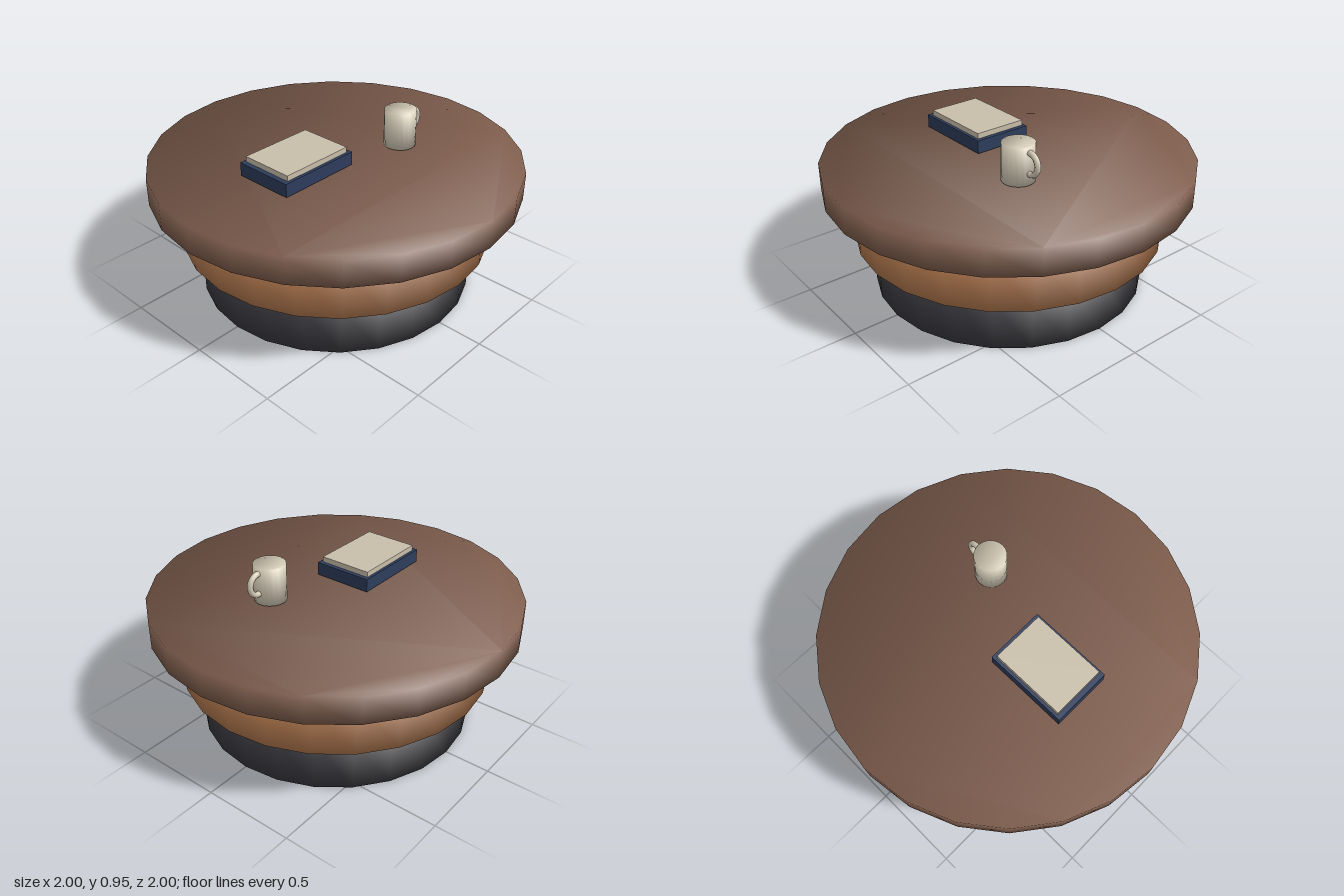
import * as THREE from 'three';

const mat = (name, color) => {
  const m = new THREE.MeshStandardMaterial({ color });
  m.name = name;
  return m;
};

// Solid disc between two heights, with soft normals that roll from wall to cap.
function softDisc(radius, y0, y1, sides) {
  const ring = Array.from({ length: sides }, (_, i) => {
    const a = (i / sides) * Math.PI * 2;
    return new THREE.Vector2(Math.cos(a) * radius, Math.sin(a) * radius);
  });
  const geo = new THREE.ExtrudeGeometry(new THREE.Shape(ring), { depth: y1 - y0, bevelEnabled: false });
  geo.rotateX(-Math.PI / 2).translate(0, y0, 0);
  const pos = geo.attributes.position;
  const n = new THREE.Vector3();
  for (let i = 0; i < pos.count; i++) {
    const up = pos.getY(i) > (y0 + y1) / 2 ? 1 : -1;
    n.set(pos.getX(i) / radius, up, pos.getZ(i) / radius).normalize();
    geo.attributes.normal.setXYZ(i, n.x, n.y, n.z);
  }
  return geo;
}

// Box given by its lower and upper corners.
function boxBetween(x0, y0, z0, x1, y1, z1) {
  return new THREE.BoxGeometry(x1 - x0, y1 - y0, z1 - z0)
    .translate((x0 + x1) / 2, (y0 + y1) / 2, (z0 + z1) / 2);
}

export function createModel() {
  const model = new THREE.Group();
  model.name = 'coffeeTable';

  const darkWood = mat('darkWood', 0x7e5d4d);
  const lightWood = mat('lightWood', 0xb67b50);
  const charcoal = mat('charcoal', 0x39383e);
  const brass = mat('brass', 0x9c7639);
  const navy = mat('navyCover', 0x2e3d5c);
  const paper = mat('paper', 0xc8beaa);
  const ceramic = mat('ceramic', 0xd3cab6);

  const add = (parent, name, geometry, material) => {
    const mesh = new THREE.Mesh(geometry, material);
    mesh.name = name;
    parent.add(mesh);
    return mesh;
  };

  // Round table: plinth, drum, top and the thin ring under the top
  add(model, 'plinth', softDisc(0.75, 0, 0.295, 24), charcoal);
  add(model, 'drum', softDisc(0.845, 0.29, 0.59, 24), lightWood);
  add(model, 'tableTop', softDisc(1, 0.585, 0.735, 24), darkWood);
  const trim = new THREE.TorusGeometry(0.947, 0.013, 8, 48).rotateX(Math.PI / 2);
  add(model, 'trimRing', trim.translate(0, 0.581, 0), brass);

  // Book with a block of pages on top
  const book = new THREE.Group();
  book.name = 'book';
  add(book, 'cover', boxBetween(-0.52, 0.747, -0.168, -0.05, 0.82, 0.163), navy);
  add(book, 'pages', boxBetween(-0.494, 0.82, -0.153, -0.073, 0.85, 0.146), paper);
  model.add(book);

  // Mug with its handle towards +x
  const mug = new THREE.Group();
  mug.name = 'mug';
  mug.position.set(0.31, 0, 0.185);
  add(mug, 'mugBody', softDisc(0.087, 0.745, 0.95, 20), ceramic);
  const handle = add(mug, 'mugHandle', new THREE.TorusGeometry(0.057, 0.016, 8, 24), ceramic);
  handle.position.set(0.09, 0.864, 0);
  model.add(mug);

  return model;
}
